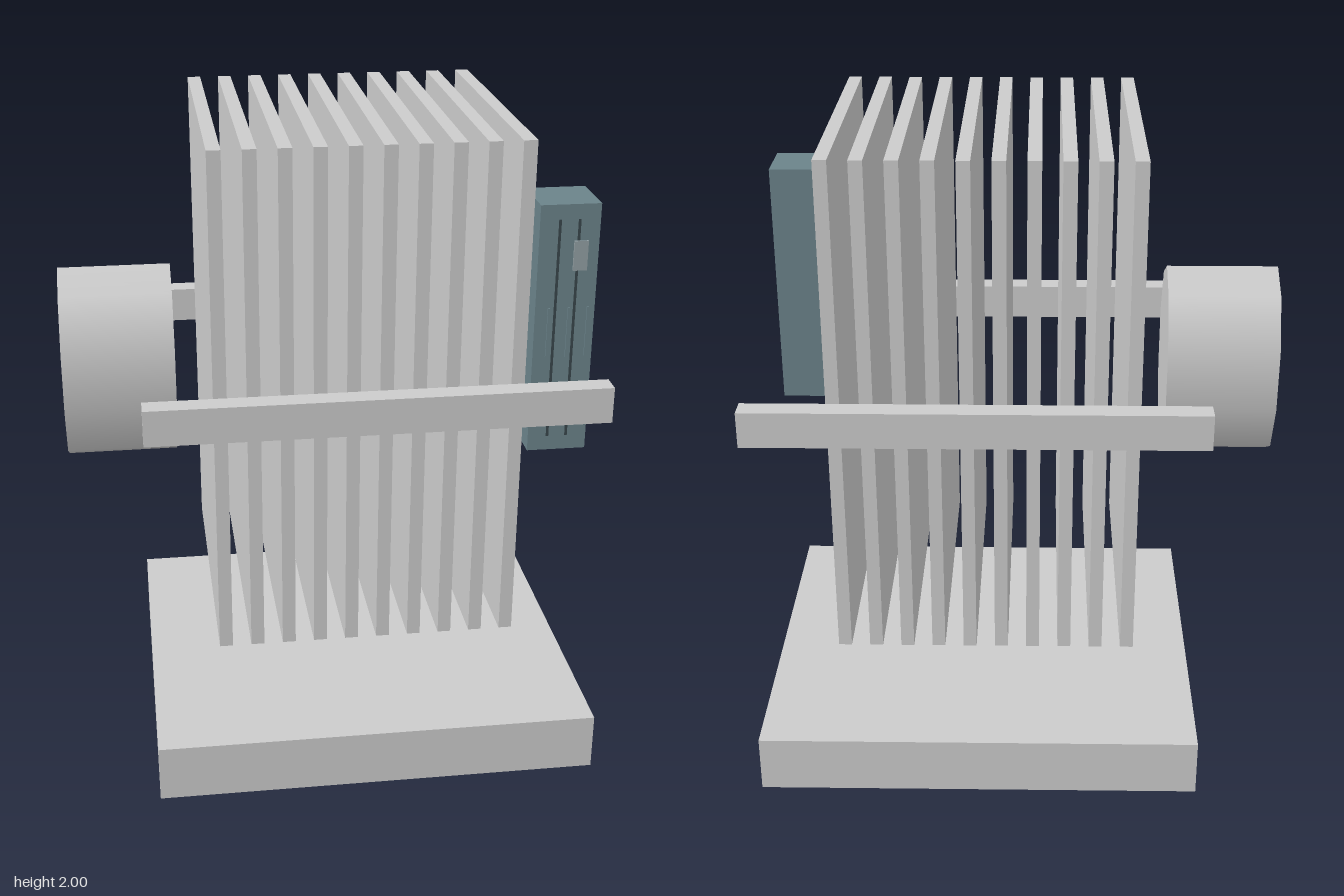
import * as THREE from 'three';

const grey = new THREE.MeshStandardMaterial({ color: 0xcccccc });
const slate = new THREE.MeshStandardMaterial({ color: 0x6b838a });
const dark = new THREE.MeshStandardMaterial({ color: 0x38464b });
const pale = new THREE.MeshStandardMaterial({ color: 0x929fa3 });

// Box given by its minimum and maximum corners
function box(name, min, max, material = grey) {
  const size = max.map((v, i) => v - min[i]);
  const mesh = new THREE.Mesh(new THREE.BoxGeometry(...size), material);
  mesh.position.set(...max.map((v, i) => (v + min[i]) / 2));
  mesh.name = name;
  return mesh;
}

export function createModel() {
  const model = new THREE.Group();
  model.name = 'finnedUnit';

  // Base slab
  model.add(box('base', [-0.57, 0, -0.6], [0.795, 0.18, 0.6]));

  // Row of ten upright fins
  const fins = new THREE.Group();
  fins.name = 'fins';
  for (let i = 0; i < 10; i++) {
    const x = -0.346 + i * 0.0969;
    fins.add(box('fin', [x - 0.02, 0.45, -0.465], [x + 0.02, 2, 0.465]));
  }
  model.add(fins);

  // Rails in front of and behind the fins
  model.add(box('frontRail', [-0.57, 1.17, 0.473], [0.795, 1.28, 0.54]));
  model.add(box('backRail', [-0.57, 1.17, -0.54], [0.795, 1.28, -0.473]));

  // Flattened ten-sided drum on the right side
  const drumGeometry = new THREE.CylinderGeometry(1, 1, 0.34, 10, 1, false, Math.PI / 2);
  drumGeometry.rotateZ(Math.PI / 2);
  drumGeometry.scale(1, 0.31, 0.187);
  const drum = new THREE.Mesh(drumGeometry, grey);
  drum.name = 'drum';
  drum.position.set(-0.63, 1.223, 0);
  model.add(drum);

  // Control box with seams, a small plate and thin slots on its face
  const control = new THREE.Group();
  control.name = 'controlBox';
  control.add(box('controlBody', [0.595, 1.005, 0.172], [0.775, 1.78, 0.353], slate));
  for (const x of [0.655, 0.713]) {
    control.add(box('seam', [x - 0.004, 1.05, 0.35], [x + 0.004, 1.735, 0.354], dark));
  }
  control.add(box('facePlate', [0.7, 1.58, 0.35], [0.742, 1.67, 0.359], pale));
  for (const x of [0.636, 0.696, 0.754]) {
    control.add(box('slot', [x - 0.003, 1.31, 0.35], [x + 0.003, 1.465, 0.358], slate));
  }
  model.add(control);

  return model;
}
